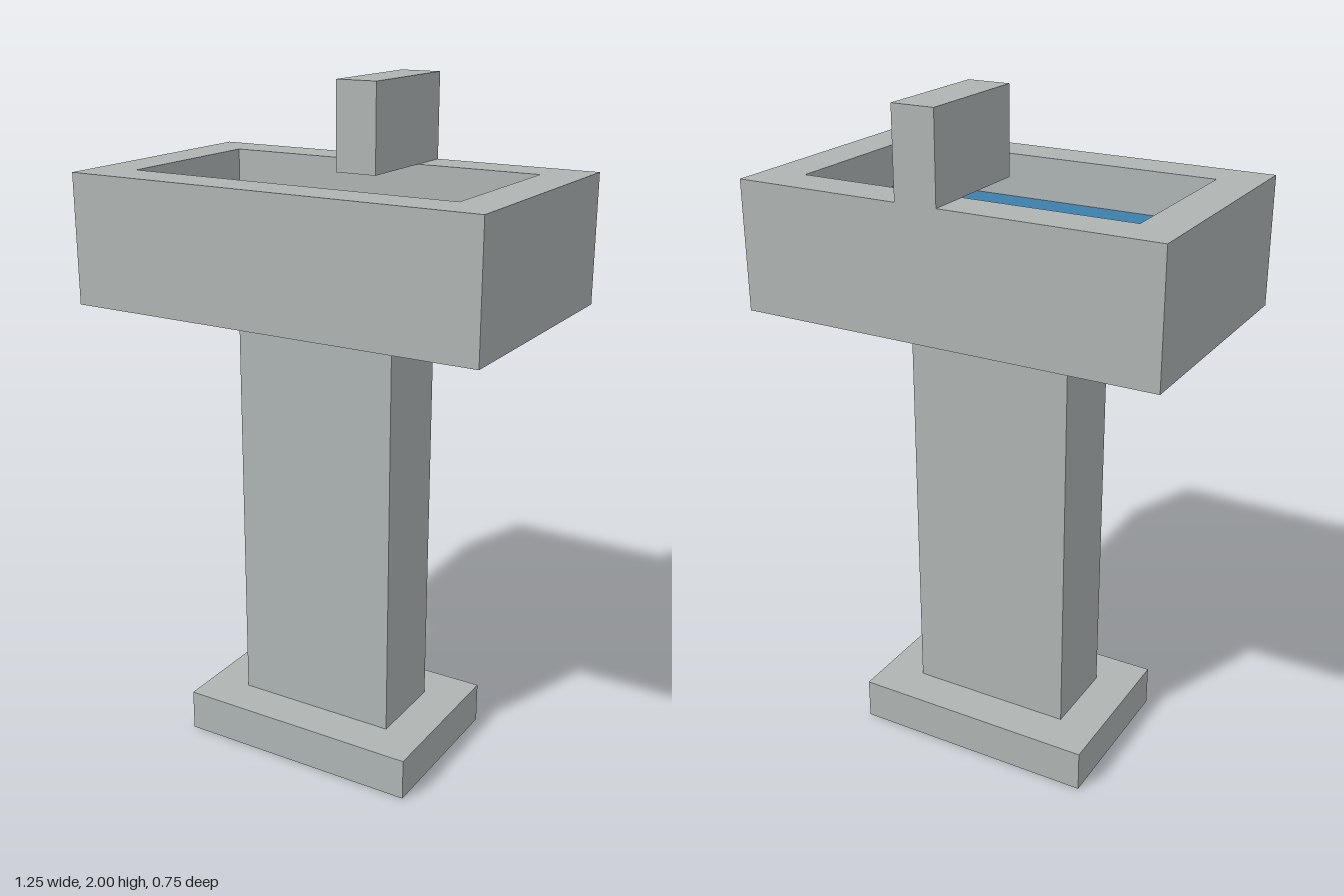
import * as THREE from 'three';

const stone = new THREE.MeshStandardMaterial({ color: 0xafb5b4, side: THREE.DoubleSide });
stone.name = 'stone grey';
const waterBlue = new THREE.MeshStandardMaterial({ color: 0x3b80ab, side: THREE.DoubleSide });
waterBlue.name = 'water blue';

// Box face order: +x, -x, top, bottom, front, back
const TOP = 2, BOTTOM = 3;

// Box given by its lowest corner and its size, without the listed faces
function block(name, [x, y, z], [w, h, d], openFaces = []) {
  const geometry = new THREE.BoxGeometry(w, h, d);
  const index = Array.from(geometry.index.array);
  geometry.setIndex(index.filter((_, i) => !openFaces.includes(Math.floor(i / 6))));
  geometry.clearGroups();
  geometry.translate(x + w / 2, y + h / 2, z + d / 2);
  const mesh = new THREE.Mesh(geometry, stone);
  mesh.name = name;
  return mesh;
}

// Horizontal rectangle centred on the axis
function sheet(name, w, d, y, material, facing) {
  const geometry = new THREE.PlaneGeometry(w, d).rotateX(-facing * Math.PI / 2);
  const mesh = new THREE.Mesh(geometry, material);
  mesh.name = name;
  mesh.position.y = y;
  return mesh;
}

function rectangle(path, w, d) {
  path.moveTo(-w / 2, -d / 2);
  path.lineTo(w / 2, -d / 2);
  path.lineTo(w / 2, d / 2);
  path.lineTo(-w / 2, d / 2);
  path.closePath();
  return path;
}

export function createModel() {
  const model = new THREE.Group();
  model.name = 'pedestalBasin';

  // Hollow foot and column, both open underneath
  model.add(block('foot', [-0.375, 0, -0.25], [0.75, 0.125, 0.5], [BOTTOM]));
  model.add(block('column', [-0.25, 0, -0.125], [0.5, 1.375, 0.25], [TOP, BOTTOM]));

  // Basin walls with a rectangular well, closed by a floor
  const outline = rectangle(new THREE.Shape(), 1.25, 0.75);
  outline.holes.push(rectangle(new THREE.Path(), 1, 0.5));
  const walls = new THREE.ExtrudeGeometry(outline, { depth: 0.375, bevelEnabled: false });
  walls.rotateX(-Math.PI / 2).translate(0, 1.375, 0);
  const basin = new THREE.Mesh(walls, stone);
  basin.name = 'basinWalls';
  model.add(basin);
  model.add(sheet('basinFloor', 1, 0.5, 1.375, stone, -1));
  model.add(sheet('water', 1, 0.5, 1.625, waterBlue, 1));

  // Spout resting on the back rim, beside the centre line
  model.add(block('spout', [0, 1.75, -0.375], [0.125, 0.25, 0.375]));

  return model;
}
